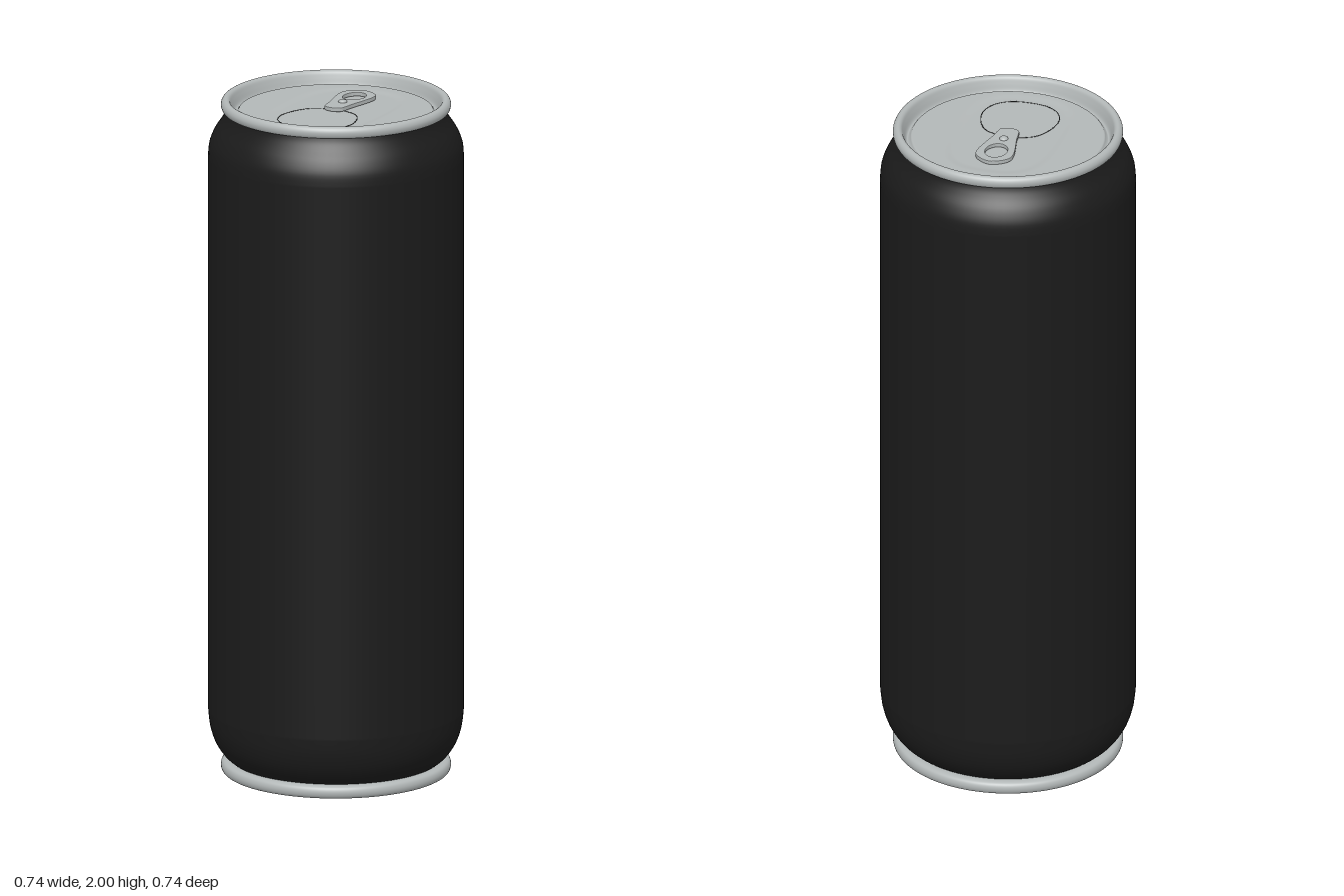
import * as THREE from 'three';
import { mergeVertices } from 'three/addons/utils/BufferGeometryUtils.js';

const metal = new THREE.MeshStandardMaterial({ color: 0xb2b7b7 });
const black = new THREE.MeshStandardMaterial({ color: 0x1b1b1b });
const scoreColor = new THREE.MeshStandardMaterial({ color: 0x202222 });
const SEGMENTS = 96;
const FLOOR = 1.965; // height of the sunken part of the lid

const vec2 = (points) => points.map(([x, y]) => new THREE.Vector2(x, y));

// Smooth profile through a few [radius, height] points
const smooth = (points, count) => new THREE.SplineCurve(vec2(points)).getPoints(count);

function add(group, name, geometry, material) {
  const mesh = new THREE.Mesh(geometry, material);
  mesh.name = name;
  group.add(mesh);
  return mesh;
}

// Lid: rolled rim, countersink groove and a panel with a shallow rounded recess
function lidGeometry() {
  const profile = smooth([
    [0.312, 1.964], [0.326, 1.968], [0.331, 1.982], [0.327, 1.994], [0.317, 2.0],
    [0.307, 1.995], [0.301, 1.98], [0.295, 1.961], [0.289, 1.955], [0.283, 1.96],
    [0.278, 1.967], [0.27, 1.968],
  ], 55);
  for (let i = 1; i <= 45; i++) profile.push(new THREE.Vector2(0.27 * (1 - i / 45), 1.968));
  let geometry = new THREE.LatheGeometry(profile, SEGMENTS);
  const p = geometry.attributes.position;
  for (let i = 0; i < p.count; i++) {
    const x = p.getX(i), z = p.getZ(i);
    if (Math.hypot(x, z) > 0.269) continue;
    const d = Math.cbrt(Math.abs(x / 0.16) ** 3 + Math.abs((z - 0.01) / 0.245) ** 3);
    p.setY(i, 1.968 - (1.968 - FLOOR) * (1 - THREE.MathUtils.smoothstep(d, 0.88, 1.02)));
  }
  geometry.deleteAttribute('normal');
  geometry.deleteAttribute('uv');
  geometry = mergeVertices(geometry, 1e-5);
  geometry.computeVertexNormals();
  return geometry;
}

// Pull tab: keyhole outline with a finger hole (shape y is -z)
function tabGeometry() {
  const half = [[0.03, 0.172], [0.05, 0.15], [0.052, 0.12], [0.044, 0.075], [0.034, 0.03],
    [0.03, 0], [0.025, -0.018]];
  const mirrored = half.map(([x, y]) => [-x, y]).reverse();
  const outline = new THREE.CatmullRomCurve3(
    [[0, 0.184], ...half, [0, -0.027], ...mirrored].map(([x, y]) => new THREE.Vector3(x, y, 0)), true);
  const shape = new THREE.Shape(outline.getPoints(72).slice(0, -1).map((v) => new THREE.Vector2(v.x, v.y)));
  const hole = new THREE.Path();
  hole.absellipse(0, 0.116, 0.034, 0.044, 0, Math.PI * 2, false);
  shape.holes.push(hole);
  const geometry = new THREE.ExtrudeGeometry(shape, {
    depth: 0.008, bevelThickness: 0.002, bevelSize: 0.002, bevelSegments: 2, curveSegments: 40,
  });
  return geometry.rotateX(-Math.PI / 2).translate(0, FLOOR + 0.004, 0);
}

// Score line around the mouth, running under the tab
function mouthGeometry() {
  const half = [[0.035, 0.003], [0.075, 0.023], [0.103, 0.07], [0.113, 0.13], [0.095, 0.18], [0.055, 0.21]];
  const mirrored = half.map(([x, z]) => [-x, z]).reverse();
  const curve = new THREE.CatmullRomCurve3(
    [[0, -0.002], ...half, [0, 0.218], ...mirrored].map(([x, z]) => new THREE.Vector3(x, 0, z)), true);
  return new THREE.TubeGeometry(curve, 120, 0.0014, 6, true).scale(1, 0.5, 1).translate(0, FLOOR + 0.0003, 0);
}

export function createModel() {
  const can = new THREE.Group();
  can.name = 'drinkCan';

  // Painted body: rounded foot, straight wall, shoulder and neck
  const body = [
    ...smooth([[0.296, 0.034], [0.322, 0.055], [0.347, 0.092], [0.362, 0.138], [0.368, 0.19]], 20),
    ...smooth([[0.368, 1.83], [0.364, 1.868], [0.35, 1.903], [0.331, 1.932], [0.32, 1.952], [0.314, 1.97]], 22),
  ];
  add(can, 'body', new THREE.LatheGeometry(body, SEGMENTS), black);

  // Base: flat disc inside a rolled ring
  add(can, 'baseDisc', new THREE.CircleGeometry(0.306, SEGMENTS).rotateX(Math.PI / 2).translate(0, 0.009, 0), metal);
  const ring = smooth([
    [0.3, 0.012], [0.306, 0.003], [0.316, 0], [0.327, 0.006], [0.331, 0.019],
    [0.327, 0.032], [0.316, 0.038], [0.298, 0.038],
  ], 32);
  add(can, 'baseRing', new THREE.LatheGeometry(ring, SEGMENTS), metal);

  add(can, 'lid', lidGeometry(), metal);
  add(can, 'mouthScore', mouthGeometry(), scoreColor);

  // Pull tab with its rivet and the fine dark seam where it meets the lid
  const tab = new THREE.Group();
  tab.name = 'pullTab';
  add(tab, 'tabPlate', tabGeometry(), metal);
  const rivet = new THREE.SphereGeometry(0.013, 24, 10, 0, Math.PI * 2, 0, Math.PI / 2).scale(1, 0.6, 1);
  add(tab, 'rivet', rivet, metal).position.set(0, FLOOR + 0.014, -0.042);
  can.add(tab);

  return can;
}
